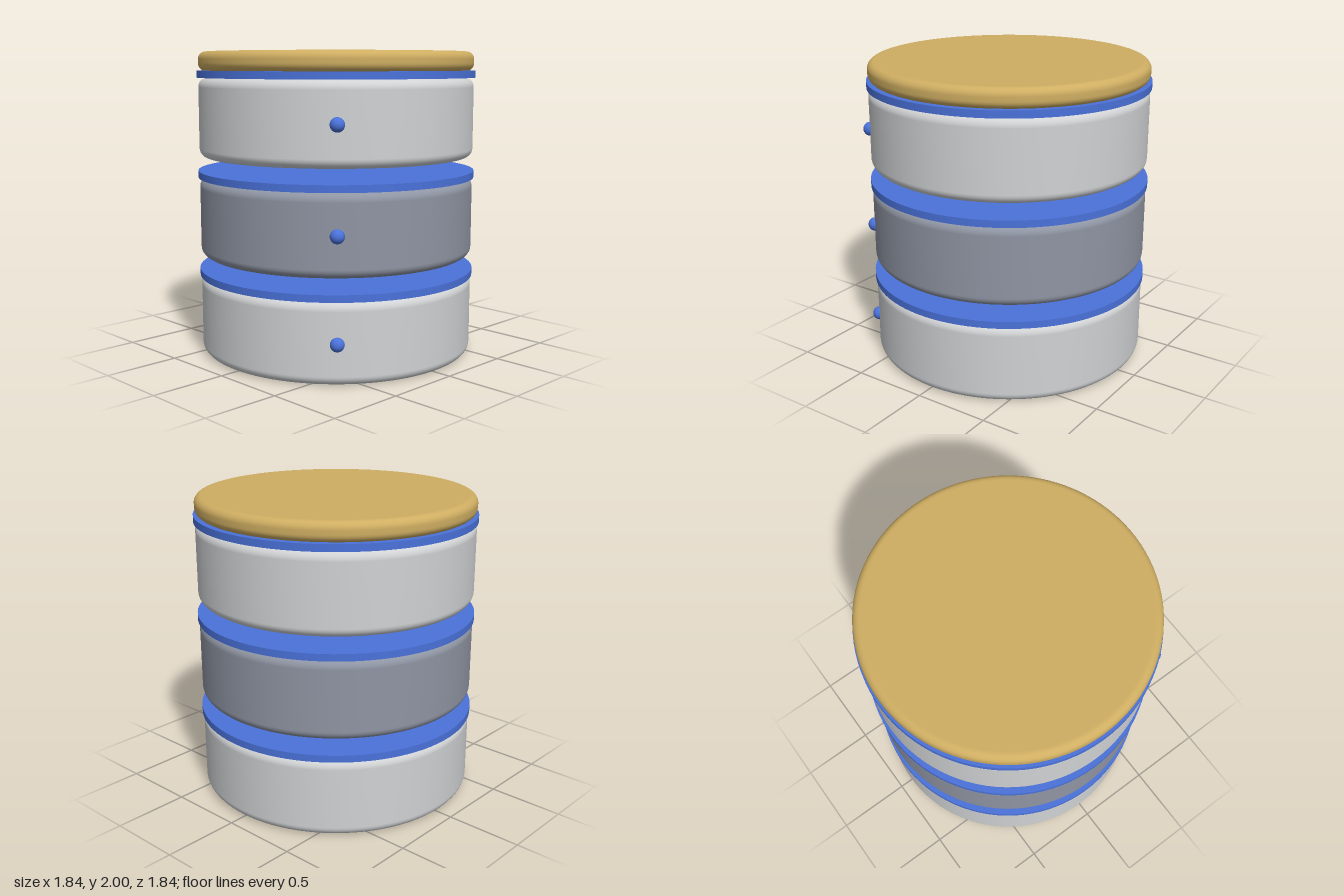
import * as THREE from 'three';

const SEGMENTS = 96;

// Solid disc with rounded rims, standing on y = 0
function roundedDrum(radius, height, fillet) {
  const inner = radius - fillet, steps = 8;
  const points = [new THREE.Vector2(0, 0), new THREE.Vector2(inner - 0.005, 0)];
  for (const [cy, start] of [[fillet, -Math.PI / 2], [height - fillet, 0]]) {
    for (let i = 0; i <= steps; i++) {
      const a = start + (i / steps) * Math.PI / 2;
      points.push(new THREE.Vector2(inner + fillet * Math.cos(a), cy + fillet * Math.sin(a)));
    }
  }
  points.push(new THREE.Vector2(inner - 0.005, height), new THREE.Vector2(0, height));
  return new THREE.LatheGeometry(points, SEGMENTS);
}

function material(name, color) {
  const m = new THREE.MeshStandardMaterial({ color });
  m.name = name;
  return m;
}

export function createModel() {
  const silver = material('silver', 0xd0d2d4);
  const slate = material('slate grey', 0x8f95a3);
  const blue = material('blue', 0x4a72da);
  const gold = material('gold', 0xcfae62);

  const model = new THREE.Group();
  model.name = 'stackedCanister';

  function add(parent, name, geometry, mat, x, y, z) {
    const mesh = new THREE.Mesh(geometry, mat);
    mesh.name = name;
    mesh.position.set(x, y, z);
    parent.add(mesh);
  }

  const bodyGeometry = roundedDrum(0.91, 0.52, 0.06);
  const ringGeometry = new THREE.CylinderGeometry(0.92, 0.92, 0.046, SEGMENTS);
  const knobGeometry = new THREE.SphereGeometry(0.045, 24, 16);

  // Three separate tiers, each a drum with a rim disc and a knob
  ['lower', 'middle', 'upper'].forEach((label, i) => {
    const tier = new THREE.Group();
    tier.name = label + 'Tier';
    tier.position.y = i * 0.654;
    add(tier, 'body', bodyGeometry, i === 1 ? slate : silver, 0, 0.003, 0);
    add(tier, 'rim', ringGeometry, blue, 0, 0.546, 0);
    add(tier, 'knob', knobGeometry, blue, 0.65, 0.264, 0.633);
    model.add(tier);
  });

  // Lid resting on the top rim
  add(model, 'lid', roundedDrum(0.91, 0.126, 0.05), gold, 0, 1.874, 0);

  return model;
}
